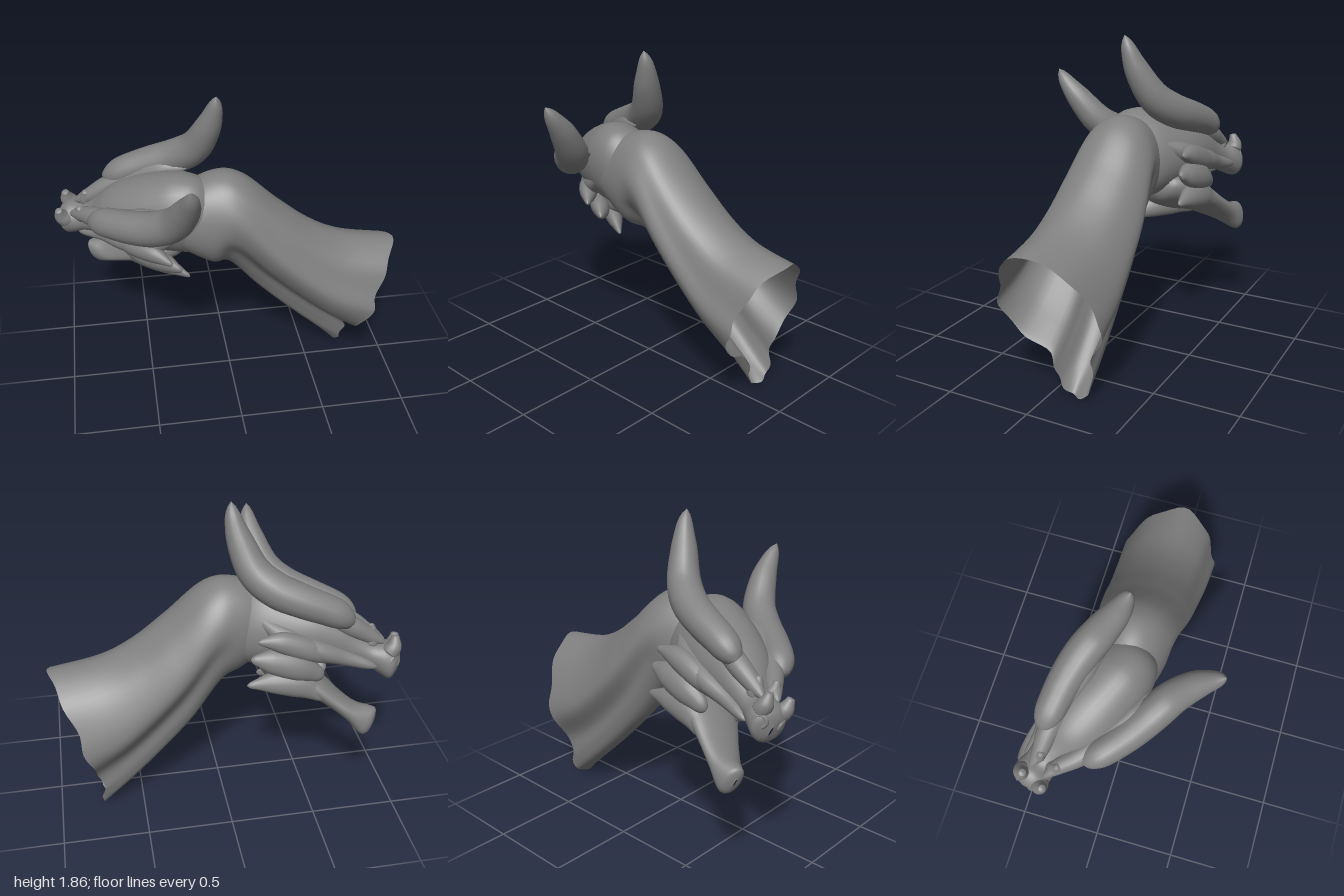
import * as THREE from 'three';

const V = (x, y, z) => new THREE.Vector3(x, y, z);
const skin = new THREE.MeshStandardMaterial({ color: 0x808080 });
const openSkin = new THREE.MeshStandardMaterial({ color: 0x808080, side: THREE.DoubleSide });

function addMesh(parent, name, geometry, material = skin) {
  const mesh = new THREE.Mesh(geometry, material);
  mesh.name = name;
  parent.add(mesh);
  return mesh;
}

// Smooth surface through closed rings of equal length
function loft(rings) {
  const n = rings[0].length, index = [];
  for (let i = 0; i < rings.length - 1; i++) {
    for (let j = 0; j < n; j++) {
      const a = i * n + j, b = i * n + (j + 1) % n;
      index.push(a, b, a + n, b, b + n, a + n);
    }
  }
  const geometry = new THREE.BufferGeometry().setFromPoints(rings.flat());
  geometry.setIndex(index);
  geometry.computeVertexNormals();
  return geometry;
}

// Spline through rows of numbers, sampled at u from 0 to 1
function sampleRows(rows, u) {
  const s = u * (rows.length - 1), i = Math.min(Math.floor(s), rows.length - 2), t = s - i;
  const row = k => rows[Math.max(0, Math.min(rows.length - 1, k))];
  return rows[0].map((_, c) => {
    const p0 = row(i - 1)[c], p1 = row(i)[c], p2 = row(i + 1)[c], p3 = row(i + 2)[c];
    const m1 = (p2 - p0) / 2, m2 = (p3 - p1) / 2, d = p2 - p1;
    return p1 + t * (m1 + t * (3 * d - 2 * m1 - m2 + t * (m1 + m2 - 2 * d)));
  });
}

// Body from rows of [forward, top, bottom, half width]
function body(rows, steps = 48, sides = 36) {
  const rings = [];
  for (let i = 0; i <= steps; i++) {
    const [f, top, bottom, w] = sampleRows(rows, i / steps);
    rings.push(Array.from({ length: sides }, (_, j) => {
      const a = j / sides * Math.PI * 2;
      return V(f, (top + bottom) / 2 + (top - bottom) / 2 * Math.cos(a), Math.max(w, 0) * Math.sin(a));
    }));
  }
  return loft(rings);
}

// Tapering tube along rows of [x, y, z, radius], with rounded ends
function spike(rows, flat = 1, steps = 40, sides = 18) {
  const curve = new THREE.CatmullRomCurve3(rows.map(r => V(r[0], r[1], r[2])));
  const frames = curve.computeFrenetFrames(steps);
  const radii = rows.map(r => [r[3]]);
  const rings = [];
  for (let i = 0; i <= steps; i++) {
    const u = i / steps;
    const start = Math.max(0, 1 - u * 8), end = Math.max(0, 1 - (1 - u) * 16);
    const round = Math.sqrt((1 - start ** 2) * (1 - end ** 2));
    const r = Math.max(0, sampleRows(radii, curve.getUtoTmapping(u))[0]) * round;
    const c = curve.getPointAt(u);
    rings.push(Array.from({ length: sides }, (_, j) => {
      const a = j / sides * Math.PI * 2;
      const offset = frames.normals[i].clone().multiplyScalar(Math.cos(a))
        .addScaledVector(frames.binormals[i], Math.sin(a)).multiplyScalar(r);
      offset.z *= flat;
      return offset.add(c);
    }));
  }
  return loft(rings);
}

// Neck: round behind the head, widening to an open end with a throat fold
function neckGeometry() {
  // [top x, top y, bottom x, bottom y, blend to the end outline, width scale]
  const spine = [
    [-0.36, 1.28, -0.32, 0.96, 0, 0.7], [-0.1, 1.395, -0.12, 0.83, 0, 0.98],
    [0.08, 1.37, 0.0, 0.78, 0.35, 0.98], [0.3, 1.18, 0.18, 0.55, 0.75, 0.96],
    [0.5, 1.025, 0.37, 0.345, 0.92, 0.95], [0.7, 0.93, 0.56, 0.16, 1, 0.97],
    [0.985, 0.88, 0.735, 0.0, 1, 1]];
  // End outline as [z, depth from top]
  const outline = [[0, 0], [0.17, 0.1], [0.235, 0.28], [0.27, 0.43], [0.17, 0.62], [0.0, 0.73],
    [-0.04, 0.85], [-0.08, 0.96], [-0.15, 1], [-0.22, 0.96], [-0.25, 0.85], [-0.255, 0.7],
    [-0.35, 0.5], [-0.31, 0.3], [-0.19, 0.1]];
  const endCurve = new THREE.CatmullRomCurve3(outline.map(p => V(p[0], p[1], 0)), true);
  const steps = 60, sides = 75, rings = [];
  for (let i = 0; i <= steps; i++) {
    const u = i / steps;
    const [tx, ty, bx, by, blend, scale] = sampleRows(spine, u);
    rings.push(Array.from({ length: sides }, (_, j) => {
      const a = j / sides * Math.PI * 2, p = endCurve.getPoint(j / sides);
      const z = THREE.MathUtils.lerp(-0.025 + 0.215 * Math.sin(a), p.x, blend) * scale;
      const t = THREE.MathUtils.lerp(0.5 - 0.5 * Math.cos(a), p.y, blend);
      const torn = 0.01 * (Math.cos(a * 5) + Math.sin(a * 11 + 1)) * Math.max(0, u * 8 - 7);
      const bow = -0.06 * Math.sin(Math.PI * t) * u ** 6;
      return V(tx + (bx - tx) * t + bow + torn, ty + (by - ty) * t, z);
    }));
  }
  return loft(rings);
}

export function createModel() {
  const model = new THREE.Group();
  model.name = 'hornedBeastHead';
  addMesh(model, 'neck', neckGeometry(), openSkin);

  // Head group: x forward, y up, z sideways; turned and rolled on the neck
  const head = new THREE.Group();
  head.name = 'head';
  const forward = V(-0.883, -0.21, -0.42).normalize();
  const side = V(0.308, 0.4, -0.863);
  side.addScaledVector(forward, -side.dot(forward)).normalize();
  const up = side.clone().cross(forward);
  head.quaternion.setFromRotationMatrix(new THREE.Matrix4().makeBasis(forward, up, side));
  head.position.set(-0.68, 1.22, -0.17);
  model.add(head);

  // Skull and muzzle
  addMesh(head, 'skull', body([
    [-0.66, -0.18, -0.24, 0.01], [-0.58, 0.02, -0.4, 0.14], [-0.45, 0.085, -0.46, 0.205],
    [-0.3, 0.085, -0.43, 0.22], [-0.13, 0.06, -0.36, 0.21], [0.02, 0.015, -0.3, 0.17],
    [0.14, -0.06, -0.27, 0.125], [0.24, -0.1, -0.26, 0.1], [0.32, -0.08, -0.28, 0.105],
    [0.385, -0.11, -0.29, 0.085], [0.41, -0.18, -0.23, 0.005]]));

  // Open lower jaw, deep behind and narrowing to a pointed chin
  addMesh(head, 'lowerJaw', body([
    [-0.36, -0.38, -0.43, 0.01], [-0.3, -0.32, -0.49, 0.14], [-0.15, -0.32, -0.52, 0.18],
    [0.0, -0.38, -0.53, 0.155], [0.13, -0.445, -0.56, 0.125], [0.24, -0.48, -0.6, 0.1],
    [0.33, -0.475, -0.65, 0.07], [0.37, -0.48, -0.63, 0.045], [0.385, -0.53, -0.57, 0.004]]));

  for (const s of [1, -1]) {
    const label = s > 0 ? 'far' : 'near';
    const add = (name, rows, flat) =>
      addMesh(head, label + name, spike(rows.map(([x, y, z, r]) => [x, y, z * s, r]), flat));
    // Long horn lying back from the brow, then curling up
    add('Horn', [[0.1, -0.04, 0.145, 0.07], [-0.03, -0.01, 0.185, 0.085], [-0.2, 0.0, 0.23, 0.095],
      [-0.36, 0.015, 0.255, 0.1], [-0.5, 0.07, 0.265, 0.095], [-0.63, 0.21, 0.285, 0.075],
      [-0.7, 0.32, 0.31, 0.047], [-0.735, 0.4, 0.325, 0.022]]);
    // Brow and cheek ridges
    add('BrowRidge', [[0.3, -0.1, 0.045, 0.025], [0.2, -0.085, 0.065, 0.045], [0.08, -0.06, 0.11, 0.06],
      [-0.08, -0.03, 0.15, 0.06], [-0.3, 0.0, 0.18, 0.06], [-0.45, 0.0, 0.17, 0.02]]);
    add('CheekRidge', [[0.3, -0.24, 0.075, 0.025], [0.12, -0.24, 0.1, 0.045], [-0.05, -0.24, 0.16, 0.06],
      [-0.25, -0.22, 0.19, 0.06], [-0.45, -0.16, 0.18, 0.02]]);
    // Backswept fins on the cheek and jaw
    add('UpperCheekFin', [[0.06, -0.26, 0.11, 0.04], [-0.1, -0.25, 0.19, 0.065], [-0.25, -0.25, 0.25, 0.06],
      [-0.37, -0.28, 0.31, 0.015]], 0.8);
    add('LowerCheekFin', [[0.03, -0.38, 0.11, 0.04], [-0.12, -0.36, 0.18, 0.08], [-0.27, -0.37, 0.235, 0.07],
      [-0.38, -0.39, 0.28, 0.02]], 0.7);
    add('JawFin', [[0.1, -0.5, 0.09, 0.03], [-0.08, -0.46, 0.13, 0.08], [-0.22, -0.49, 0.175, 0.065],
      [-0.36, -0.55, 0.22, 0.015]], 0.7);
    // Skin joining cheek and jaw at the mouth corner
    add('MouthCorner', [[-0.04, -0.25, 0.13, 0.05], [-0.12, -0.34, 0.16, 0.07], [-0.14, -0.44, 0.14, 0.05]], 0.7);
    // Blunt knobs over the nose
    add('NoseKnob', [[0.33, -0.15, 0.06, 0.05], [0.345, -0.1, 0.065, 0.045], [0.335, -0.035, 0.07, 0.02]]);
    add('BridgeKnob', [[0.22, -0.14, 0.05, 0.04], [0.215, -0.09, 0.055, 0.04], [0.19, -0.03, 0.06, 0.018]]);
    // Nostril rim
    const nostril = addMesh(head, label + 'Nostril', new THREE.TorusGeometry(0.03, 0.014, 10, 24));
    nostril.position.set(0.375, -0.18, 0.065 * s);
    nostril.rotation.y = Math.PI / 2 - s * 0.7;
  }
  return model;
}
